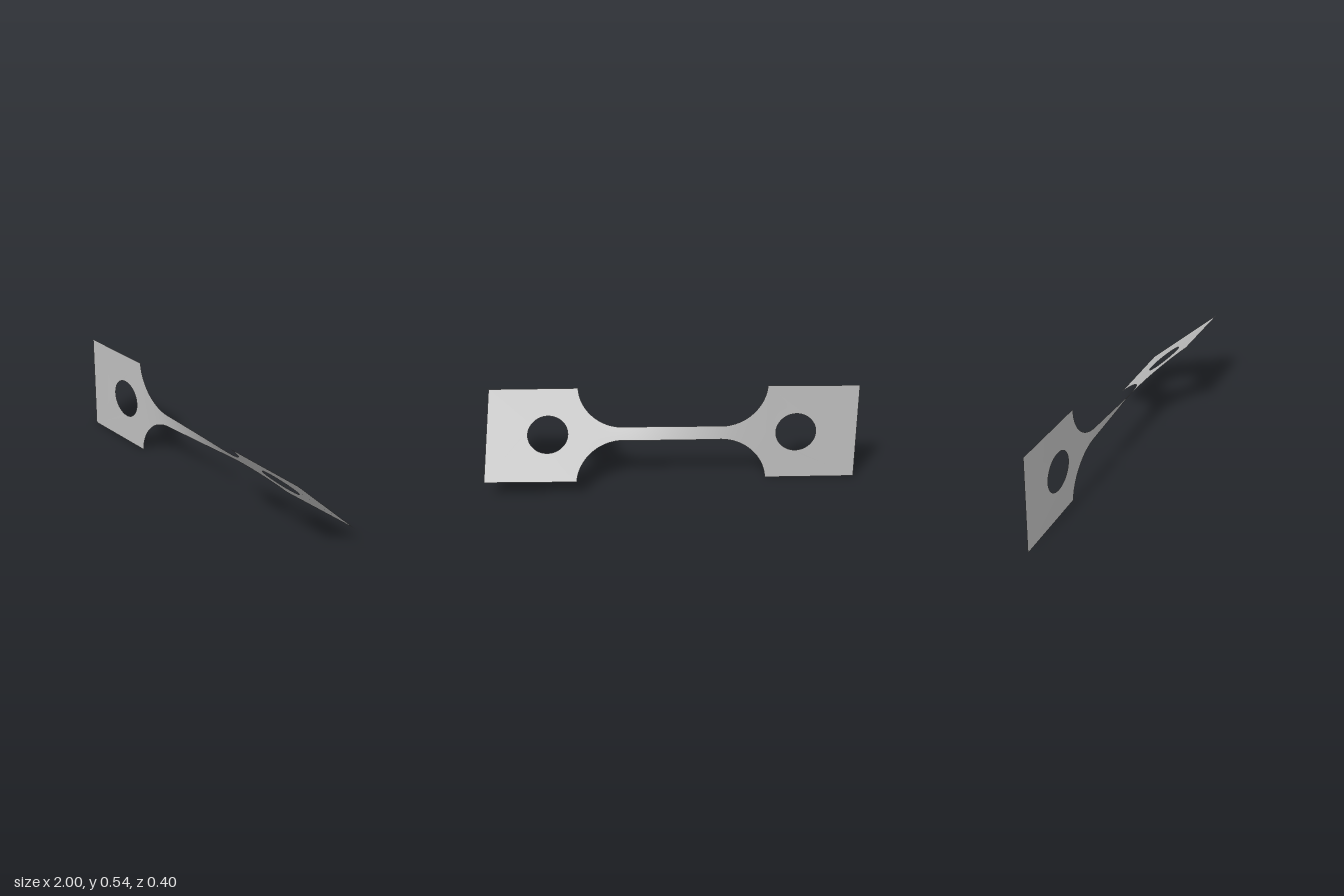
import * as THREE from 'three';

const HALF_H = 0.271;          // half height of the end plates
const NECK = 0.037;            // half height of the narrow gauge section
const FILLET_X = 0.26;         // where the fillets begin
const PLATE_X = 0.51;          // where the plates begin
const R = 0.251;               // fillet radius
const TWIST = THREE.MathUtils.degToRad(47.5);

// half height of the strip at a given x
function halfWidth(x) {
  const a = Math.abs(x);
  if (a >= PLATE_X) return HALF_H;
  const d = Math.max(0, a - FILLET_X);
  return Math.min(HALF_H, NECK + R - Math.sqrt(R * R - d * d));
}

// accumulated twist: the narrower the strip, the faster it turns
const STEPS = 800;
const twistTable = [0];
for (let i = 0; i < STEPS; i++) {
  const x = -1 + (2 * (i + 0.5)) / STEPS;
  twistTable.push(twistTable[i] + Math.pow(halfWidth(x), -1.75));
}
function twistAt(x) {
  const t = THREE.MathUtils.clamp((x + 1) / 2, 0, 1) * STEPS;
  const i = Math.min(STEPS - 1, Math.floor(t));
  const v = THREE.MathUtils.lerp(twistTable[i], twistTable[i + 1], t - i);
  return (v / twistTable[STEPS]) * TWIST;
}

// turn each vertex about the long axis and lift the sheet onto y = 0
function twist(geometry) {
  const p = geometry.attributes.position;
  for (let i = 0; i < p.count; i++) {
    const x = p.getX(i), y = p.getY(i), a = twistAt(x);
    p.setXYZ(i, x, HALF_H + y * Math.cos(a), y * Math.sin(a));
  }
  geometry.computeVertexNormals();
  return geometry;
}

// flat end plate with a round hole
function plateGeometry(side) {
  const shape = new THREE.Shape();
  shape.moveTo(side * PLATE_X, -HALF_H);
  shape.lineTo(side, -HALF_H);
  shape.lineTo(side, HALF_H);
  shape.lineTo(side * PLATE_X, HALF_H);
  shape.closePath();
  const hole = new THREE.Path();
  hole.absarc(side * 0.67, 0, 0.108, 0, Math.PI * 2, true);
  shape.holes.push(hole);
  return twist(new THREE.ShapeGeometry(shape, 32));
}

// gauge section with fillets, sampled more densely towards the plates
function neckGeometry() {
  const g = new THREE.PlaneGeometry(2, 2, 120, 10);
  const p = g.attributes.position;
  for (let i = 0; i < p.count; i++) {
    const x = PLATE_X * Math.sin((p.getX(i) * Math.PI) / 2);
    p.setXY(i, x, p.getY(i) * halfWidth(x));
  }
  return twist(g);
}

export function createModel() {
  const metal = new THREE.MeshStandardMaterial({ color: 0xbfbfbf, side: THREE.DoubleSide });
  metal.name = 'light grey metal';
  const group = new THREE.Group();
  group.name = 'twistedTestStrip';
  const add = (name, geometry) => {
    const mesh = new THREE.Mesh(geometry, metal);
    mesh.name = name;
    group.add(mesh);
  };
  add('rightPlate', plateGeometry(-1));
  add('leftPlate', plateGeometry(1));
  add('twistedNeck', neckGeometry());
  return group;
}
